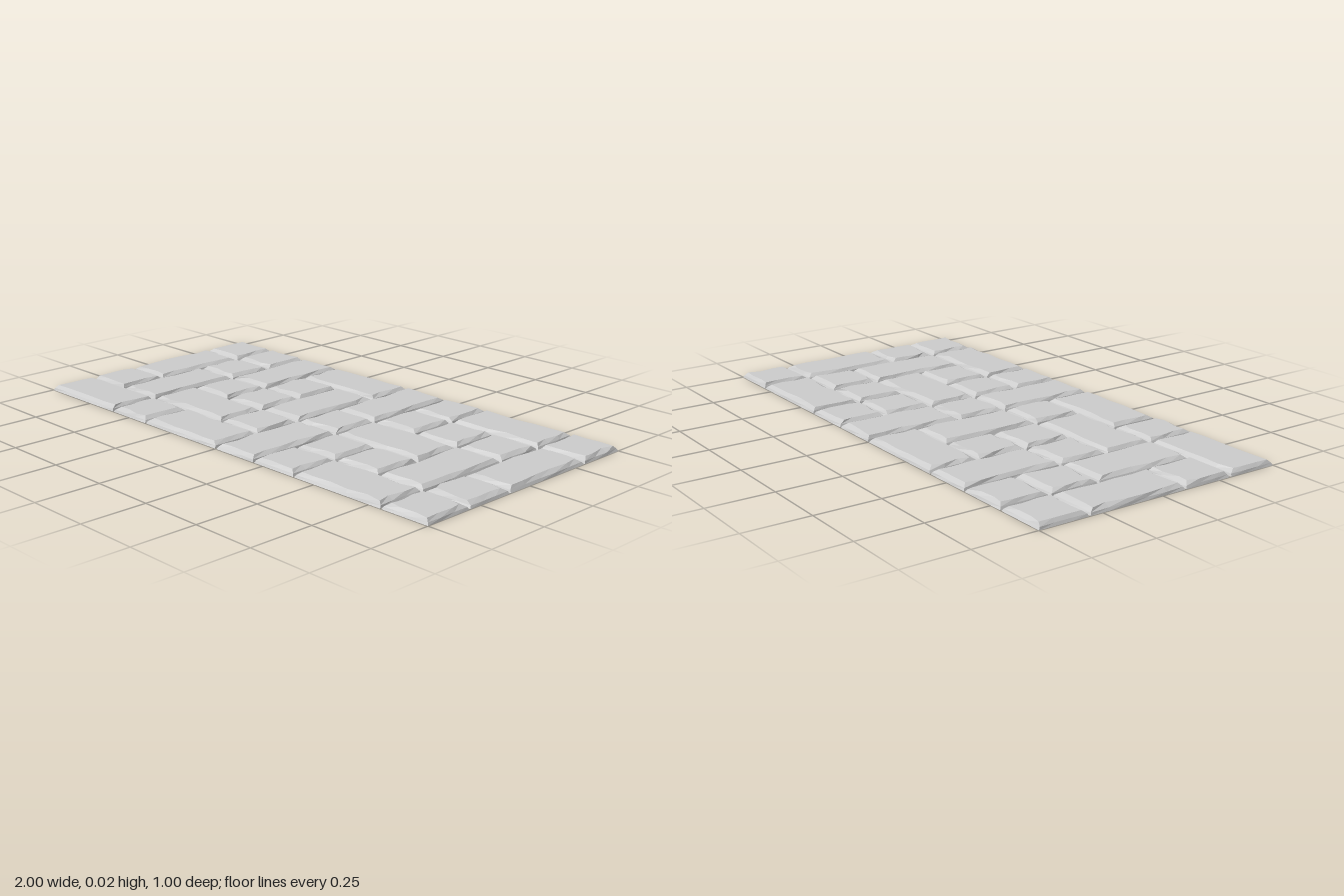
import * as THREE from 'three';

const GAP = 0.003, HEIGHT = 0.02;
const PITCH_X = (2 + 2 * GAP) / 10, PITCH_Z = (1 + 2 * GAP) / 5;

// Paving pattern on a 10 x 5 grid: equal neighbouring letters form one stone
const PATTERN = [
  'abcddefggh',
  'ijckleMnop',
  'iqrslTuuvp',
  'wqxxyzABvC',
  'DDEFFzGHHI',
];

function seeded(seed) {
  let s = seed;
  return () => (s = (s * 16807) % 2147483647) / 2147483647;
}

// Points around a rectangle, clockwise from above, with the normals of their edges
function perimeter(a, b) {
  const pts = [];
  const corners = [[-1, -1], [1, -1], [1, 1], [-1, 1]];
  corners.forEach(([sx, sz], i) => {
    const [ex, ez] = corners[(i + 1) % 4];
    const steps = (sx !== ex ? a : b) > 0.12 ? 5 : 3;
    for (let k = 0; k < steps; k++) {
      const t = k / steps;
      const x = sx + (ex - sx) * t, z = sz + (ez - sz) * t;
      pts.push({
        x: x * a, z: z * b,
        nx: Math.abs(x) === 1 ? x : 0, nz: Math.abs(z) === 1 ? z : 0,
      });
    }
  });
  return pts;
}

// Chipped stone: straight foot, irregular shoulder and worn top edge
function stoneGeometry(a, b, rand) {
  const rim = perimeter(a, b), n = rim.length;
  const levels = [
    { y: 0, inset: 0, wear: 0 },
    { y: 0.009, inset: 0.003, wear: 0.004 },
    { y: HEIGHT, inset: 0.011, wear: 0.016 },
  ];
  const pos = [], index = [];
  for (const { y, inset, wear } of levels) {
    for (const p of rim) {
      const dx = inset + wear * rand(), dz = inset + wear * rand();
      pos.push(p.x - p.nx * dx, y, p.z - p.nz * dz);
    }
  }
  for (let l = 0; l < levels.length - 1; l++) {
    for (let i = 0; i < n; i++) {
      const j = (i + 1) % n, lo = l * n, up = lo + n;
      index.push(lo + i, up + i, lo + j, lo + j, up + i, up + j);
    }
  }
  // Top and underside
  const top = pos.length / 3;
  pos.push(0, HEIGHT, 0, 0, 0, 0);
  for (let i = 0; i < n; i++) {
    const j = (i + 1) % n;
    index.push(top, 2 * n + j, 2 * n + i, top + 1, i, j);
  }
  const geo = new THREE.BufferGeometry();
  geo.setAttribute('position', new THREE.Float32BufferAttribute(pos, 3));
  geo.setIndex(index);
  const flat = geo.toNonIndexed();
  flat.computeVertexNormals();
  return flat;
}

export function createModel() {
  const group = new THREE.Group();
  group.name = 'stonePaving';
  const material = new THREE.MeshStandardMaterial({ color: 0xcccccc, flatShading: true });
  const rand = seeded(4127);

  // Gather the grid extent of every stone
  const stones = new Map();
  PATTERN.forEach((row, r) => [...row].forEach((key, c) => {
    const s = stones.get(key) ?? { c0: c, r0: r };
    s.c1 = c + 1;
    s.r1 = r + 1;
    stones.set(key, s);
  }));

  for (const { c0, c1, r0, r1 } of stones.values()) {
    const a = (c1 - c0) * PITCH_X / 2 - GAP, b = (r1 - r0) * PITCH_Z / 2 - GAP;
    const stone = new THREE.Mesh(stoneGeometry(a, b, rand), material);
    stone.name = c1 - c0 + r1 - r0 > 2 ? 'longStone' : 'squareStone';
    stone.position.set(((c0 + c1) / 2 - 5) * PITCH_X, 0, ((r0 + r1) / 2 - 2.5) * PITCH_Z);
    group.add(stone);
  }
  return group;
}
